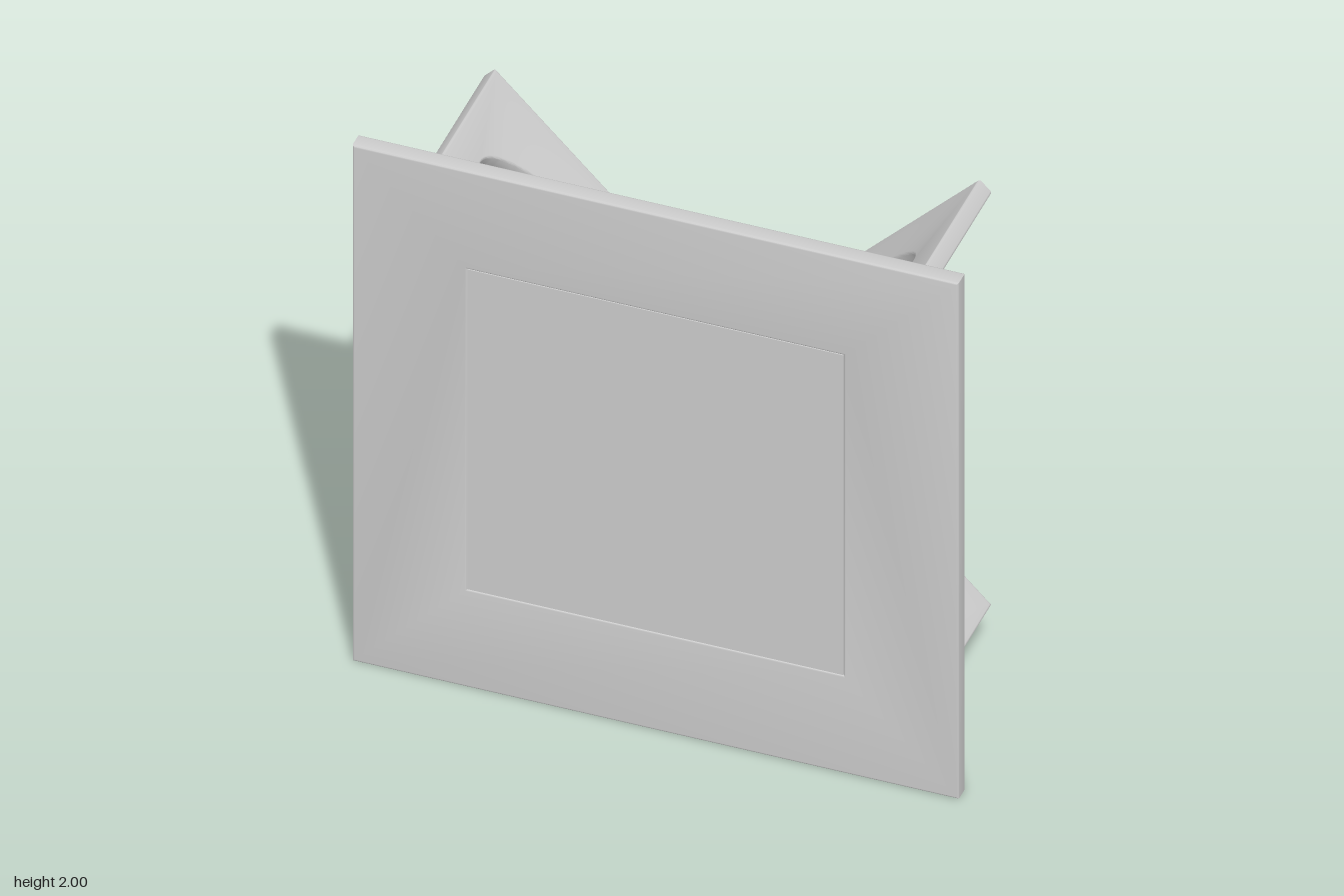
import * as THREE from 'three';
import { toCreasedNormals } from 'three/addons/utils/BufferGeometryUtils.js';

const THICK = 0.06;
const BEVEL = 0.008;
const material = new THREE.MeshStandardMaterial({ color: 0xcccccc });

// Closed path through a list of points
const outline = (points, Type = THREE.Shape) =>
  new Type(points.map(([x, y]) => new THREE.Vector2(x, y)));

const square = (h) => [[-h, -h], [h, -h], [h, h], [-h, h]];

// Sheet with softened edges, centred on its thickness
function sheet(shape) {
  const geometry = new THREE.ExtrudeGeometry(shape, {
    depth: THICK - 2 * BEVEL,
    bevelEnabled: true,
    bevelThickness: BEVEL,
    bevelSize: BEVEL,
    bevelOffset: -BEVEL,
    bevelSegments: 3,
    curveSegments: 96,
  });
  geometry.translate(0, 0, -THICK / 2 + BEVEL);
  return toCreasedNormals(geometry, 0.7);
}

function part(name, geometry, y, z) {
  const mesh = new THREE.Mesh(geometry, material);
  mesh.name = name;
  mesh.position.set(0, y, z);
  return mesh;
}

export function createModel() {
  const group = new THREE.Group();
  group.name = 'panelOnCrossedBoards';

  // Square front frame with a square opening
  const frame = outline(square(1));
  frame.holes.push(outline(square(0.62), THREE.Path));
  group.add(part('frontFrame', sheet(frame), 1, 0.33));

  // Thin panel filling the opening at the front, leaving a recess behind
  group.add(part('centrePanel', new THREE.BoxGeometry(1.24, 1.24, 0.012), 1, 0.353));

  // Diagonal boards with an oval cut-out and a tongue seated in the recess
  const half = 1.158, tongue = 0.845, back = -0.36, front = 0.3, seat = 0.348;
  const board = outline([
    [-half, back], [half, back], [half, front], [tongue, front],
    [tongue, seat], [-tongue, seat], [-tongue, front], [-half, front],
  ]);
  const oval = new THREE.Path();
  oval.absellipse(0, -0.005, 1.035, 0.258, 0, Math.PI * 2, true);
  board.holes.push(oval);
  const boardGeometry = sheet(board).rotateX(Math.PI / 2);

  for (const [name, side] of [['risingBoard', 1], ['fallingBoard', -1]]) {
    const mesh = part(name, boardGeometry, 1, 0);
    mesh.rotation.z = side * Math.PI / 4;
    group.add(mesh);
  }
  return group;
}
